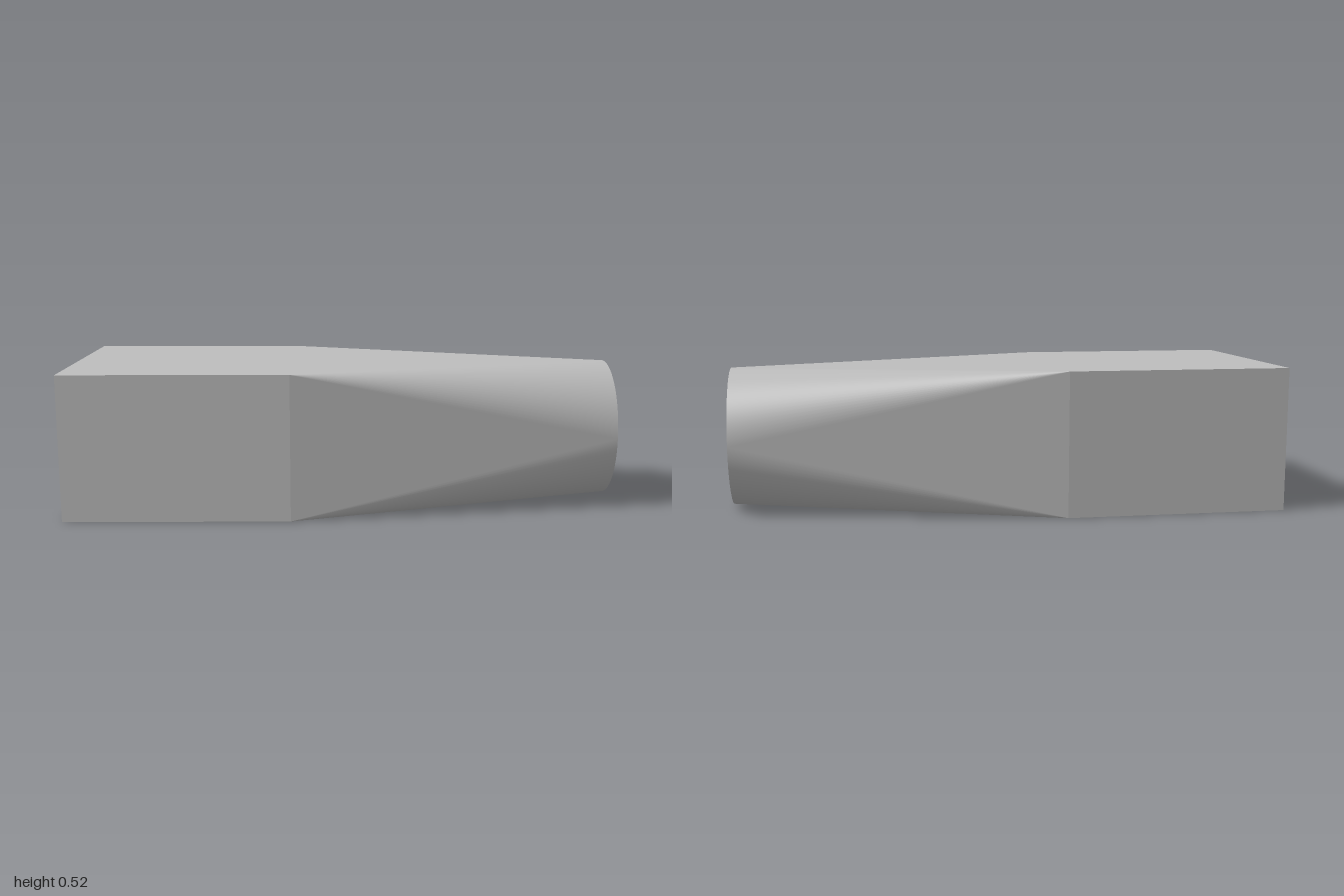
import * as THREE from 'three';

const X0 = -1, X1 = -0.19, X2 = 1;       // closed end, start of taper, round end
const HY = 0.2625, HZ = 0.407, R = 0.254; // half height, half depth, round radius
const SEG = 24;                           // segments per quarter of the circle

// Square-to-round loft: four flat triangles and four quarter-cones from the corners
function transitionGeometry() {
  const pos = [], nor = [];
  const add = (p, n) => { pos.push(p.x, p.y, p.z); nor.push(n.x, n.y, n.z); };
  const corner = (q) => {
    const a = (q + 0.5) * Math.PI / 2;
    return new THREE.Vector3(X1, HY * Math.sign(Math.sin(a)), HZ * Math.sign(Math.cos(a)));
  };
  const rim = (a) => new THREE.Vector3(X2, R * Math.sin(a), R * Math.cos(a));
  const coneNormal = (c, a) => rim(a).sub(c)
    .cross(new THREE.Vector3(0, Math.cos(a), -Math.sin(a))).normalize();

  for (let q = 0; q < 4; q++) {
    const start = q * Math.PI / 2, step = Math.PI / 2 / SEG;
    const c = corner(q), prev = corner(q - 1), p = rim(start);
    const flat = p.clone().sub(prev).cross(c.clone().sub(prev)).normalize();
    [prev, p, c].forEach((v) => add(v, flat));
    for (let i = 0; i < SEG; i++) {
      const a = start + i * step, b = a + step;
      add(c, coneNormal(c, (a + b) / 2));
      add(rim(a), coneNormal(c, a));
      add(rim(b), coneNormal(c, b));
    }
  }
  const g = new THREE.BufferGeometry();
  g.setAttribute('position', new THREE.Float32BufferAttribute(pos, 3));
  g.setAttribute('normal', new THREE.Float32BufferAttribute(nor, 3));
  return g;
}

export function createModel() {
  const model = new THREE.Group();
  model.name = 'ductTransition';
  const grey = new THREE.MeshStandardMaterial({ color: 0xbebebe });
  grey.name = 'grey';
  const part = (name, geometry, x) => {
    const mesh = new THREE.Mesh(geometry, grey);
    mesh.name = name;
    mesh.position.set(x, HY, 0);
    model.add(mesh);
  };

  // Rectangular section, open where it meets the taper
  const box = new THREE.BoxGeometry(X1 - X0, HY * 2, HZ * 2);
  box.setIndex(Array.from(box.index.array).slice(6));
  box.clearGroups();
  part('rectangularSection', box, (X0 + X1) / 2);

  part('taperedSection', transitionGeometry(), 0);

  // Round end
  part('roundEnd', new THREE.CircleGeometry(R, SEG * 4).rotateY(Math.PI / 2), X2);

  return model;
}
